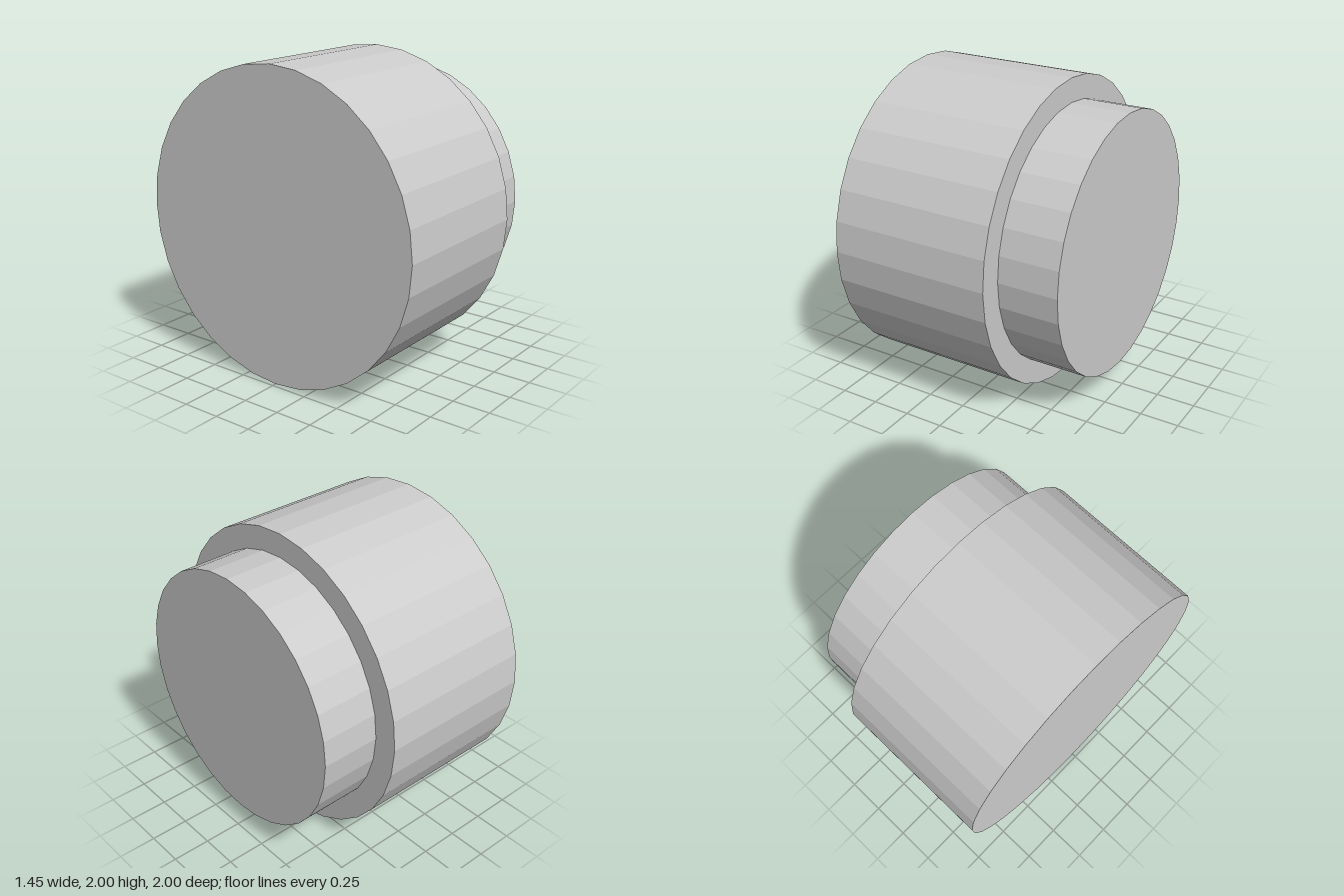
import * as THREE from 'three';

const SIDES = 32;

export function createModel() {
  const group = new THREE.Group();
  const material = new THREE.MeshStandardMaterial({ color: 0xcccccc, flatShading: true });

  // Faceted cylinder lying along x, from x0 to x1
  function drum(name, radius, x0, x1) {
    const geometry = new THREE.CylinderGeometry(radius, radius, x1 - x0, SIDES);
    geometry.rotateZ(-Math.PI / 2);
    const mesh = new THREE.Mesh(geometry, material);
    mesh.name = name;
    mesh.position.set((x0 + x1) / 2, 1, 0);
    group.add(mesh);
  }

  // Wide main body, and a narrower end seated slightly inside it
  drum('body', 1, -0.723, 0.333);
  drum('collar', 0.845, 0.323, 0.723);

  return group;
}
